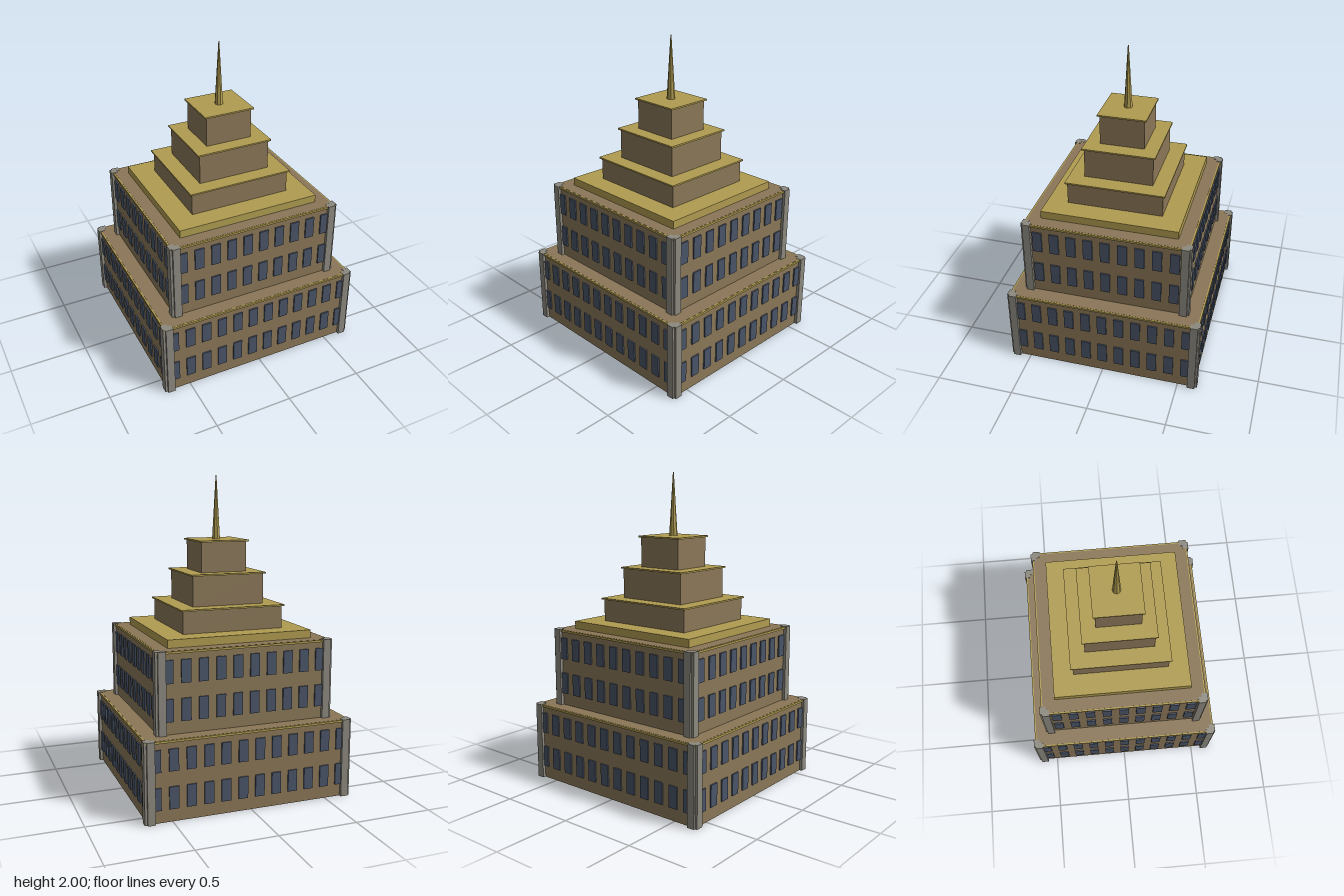
import * as THREE from 'three';

const material = (name, color) => {
  const m = new THREE.MeshStandardMaterial({ color });
  m.name = name;
  return m;
};

export function createModel() {
  const stone = material('brown stone', 0x8b7758);
  const gold = material('gold trim', 0xb09c50);
  const grey = material('grey pier', 0x8c897f);
  const glass = material('window glass', 0x4a5568);

  const model = new THREE.Group();
  model.name = 'steppedTower';

  // Box given by half extents in x and z and a bottom and top height
  function block(parent, name, mat, hx, hz, y0, y1, cx = 0, cz = 0) {
    const mesh = new THREE.Mesh(new THREE.BoxGeometry(hx * 2, y1 - y0, hz * 2), mat);
    mesh.position.set(cx, (y0 + y1) / 2, cz);
    mesh.name = name;
    parent.add(mesh);
  }

  // Evenly spaced window plates on all four walls
  function windows(parent, hx, hz, rows, nx, nz) {
    const pitch = 0.109, halfWidth = 0.03, depth = 0.0045;
    for (const [y0, y1] of rows) {
      for (const side of [-1, 1]) {
        for (let i = 0; i < nx; i++) {
          const x = (i - (nx - 1) / 2) * pitch;
          block(parent, 'window', glass, halfWidth, depth, y0, y1, x, side * (hz + depth));
        }
        for (let i = 0; i < nz; i++) {
          const z = (i - (nz - 1) / 2) * pitch;
          block(parent, 'sideWindow', glass, depth, halfWidth, y0, y1, side * (hx + depth), z);
        }
      }
    }
  }

  // Notched corner piers: two overlapping arms at each corner
  function piers(parent, hx, hz, y0, y1) {
    for (const sx of [-1, 1]) {
      for (const sz of [-1, 1]) {
        block(parent, 'cornerPier', grey, 0.024, 0.02, y0, y1, sx * (hx - 0.019), sz * hz);
        block(parent, 'cornerPier', grey, 0.02, 0.024, y0, y1, sx * hx, sz * (hz - 0.017));
      }
    }
  }

  // Two large window storeys
  const storeys = [
    { name: 'lowerTier', hx: 0.651, hz: 0.606, y0: 0, y1: 0.5, nx: 12, nz: 11,
      rows: [[0.08, 0.217], [0.312, 0.447]] },
    { name: 'upperTier', hx: 0.552, hz: 0.516, y0: 0.5, y1: 1, nx: 10, nz: 9,
      rows: [[0.578, 0.716], [0.808, 0.948]] },
  ];
  for (const s of storeys) {
    const tier = new THREE.Group();
    tier.name = s.name;
    block(tier, 'walls', stone, s.hx, s.hz, s.y0, s.y1);
    block(tier, 'corniceTrim', gold, s.hx + 0.01, s.hz + 0.01, s.y1 - 0.014, s.y1 - 0.001);
    windows(tier, s.hx, s.hz, s.rows, s.nx, s.nz);
    piers(tier, s.hx, s.hz, s.y0, s.y1 + 0.002);
    model.add(tier);
  }

  // Gold plinth and the three plain setbacks with overhanging caps
  block(model, 'plinth', gold, 0.468, 0.436, 1, 1.05);
  const setbacks = [
    [0.328, 0.304, 1.05, 1.2],
    [0.235, 0.219, 1.2, 1.4],
    [0.151, 0.141, 1.4, 1.6],
  ];
  for (const [hx, hz, y0, y1] of setbacks) {
    block(model, 'setback', stone, hx, hz, y0, y1 - 0.005);
    block(model, 'setbackCap', gold, hx + 0.013, hz + 0.013, y1 - 0.01, y1);
  }

  // Eight-sided spire
  const spireGeometry = new THREE.CylinderGeometry(0.003, 0.027, 0.4, 8).toNonIndexed();
  spireGeometry.computeVertexNormals();
  const spire = new THREE.Mesh(spireGeometry, gold);
  spire.position.y = 1.8;
  spire.name = 'spire';
  model.add(spire);

  return model;
}
